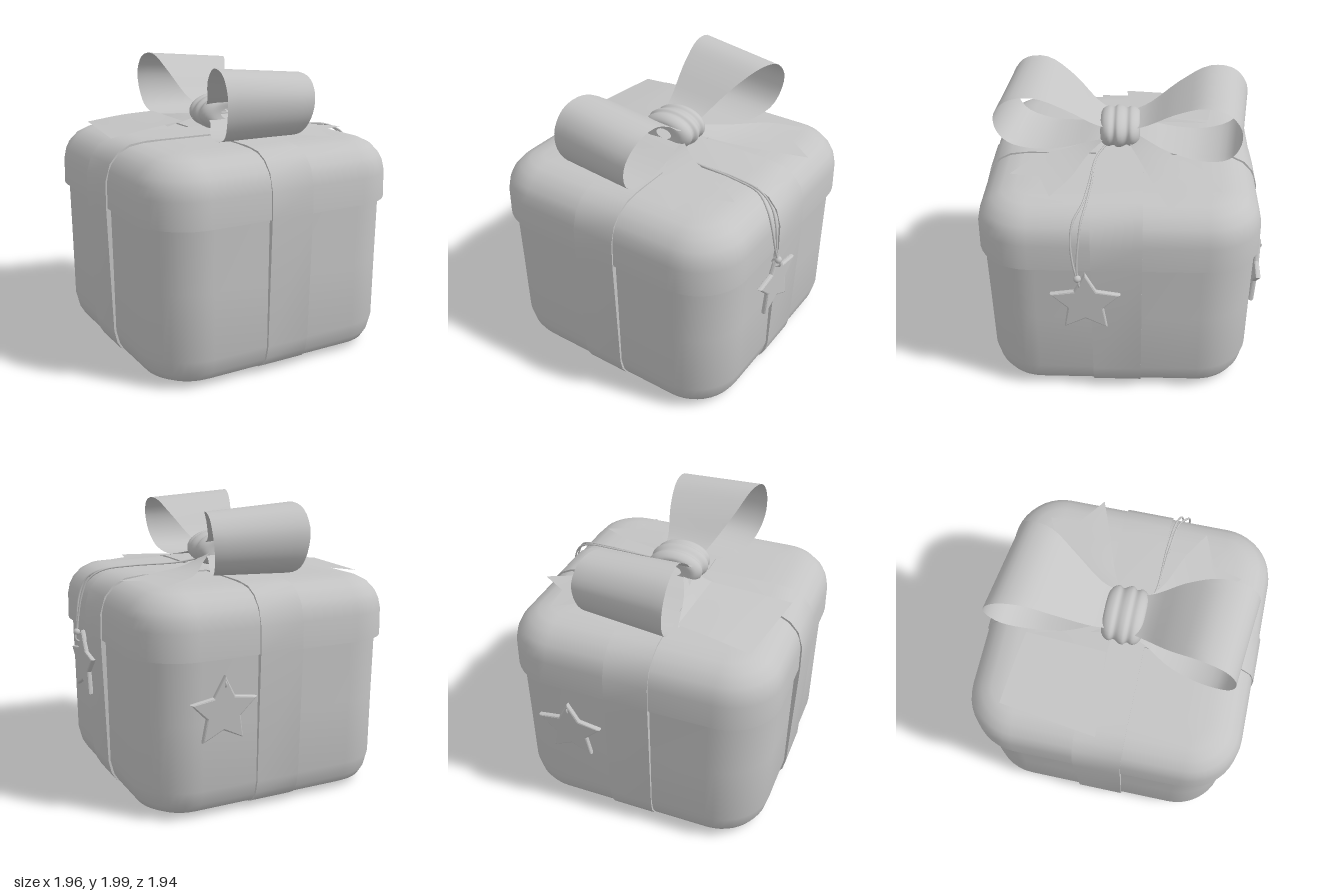
import * as THREE from 'three';
import { toCreasedNormals } from 'three/addons/utils/BufferGeometryUtils.js';

const CX = -0.04, CZ = 0.025; // centre of the box in plan
const V = (x, y, z) => new THREE.Vector3(x, y, z);

// Indexed surface from rows of points
function surface(rows, closed = false) {
  const n = rows[0].length, pos = [], idx = [];
  rows.forEach(r => r.forEach(p => pos.push(p.x, p.y, p.z)));
  for (let k = 0; k < rows.length - 1; k++) {
    for (let i = 0; i < (closed ? n : n - 1); i++) {
      const j = (i + 1) % n, a = k * n + i, b = k * n + j;
      idx.push(a, a + n, b, b, a + n, b + n);
    }
  }
  if (closed) { // flat end caps
    const last = (rows.length - 1) * n, c0 = pos.length / 3;
    pos.push(CX, rows[0][0].y, CZ, CX, rows[rows.length - 1][0].y, CZ);
    for (let i = 0; i < n; i++) {
      const j = (i + 1) % n;
      idx.push(c0, i, j, c0 + 1, last + j, last + i);
    }
  }
  const g = new THREE.BufferGeometry();
  g.setAttribute('position', new THREE.Float32BufferAttribute(pos, 3));
  g.setIndex(idx);
  return toCreasedNormals(g, 0.8);
}

// Rounded square outline at height y
function ring(half, y, radius) {
  const pts = [], c = half - radius;
  for (let q = 0; q < 4; q++) {
    const sx = q === 0 || q === 3 ? 1 : -1, sz = q < 2 ? 1 : -1;
    for (let i = 0; i <= 10; i++) {
      const a = (q + i / 10) * Math.PI / 2;
      pts.push(V(CX + sx * c + Math.cos(a) * radius, y, CZ + sz * c + Math.sin(a) * radius));
    }
  }
  return pts;
}
const roundedBlock = (half, levels) => surface(
  levels.map(([y, inset]) => ring(half - inset, y, Math.max(0.36 - inset, 0.06))), true);

// Cloth strip between two edge curves, with an optional swallowtail notch
function cloth(left, right, notch = 0) {
  const a = new THREE.CatmullRomCurve3(left), b = new THREE.CatmullRomCurve3(right);
  const rows = [];
  for (let i = 0; i <= 40; i++) {
    const row = [];
    for (let j = 0; j <= 8; j++) {
      const v = j / 8, u = i / 40 * (1 - notch * (1 - Math.abs(2 * v - 1)));
      row.push(a.getPoint(u).lerp(b.getPoint(u), v));
    }
    rows.push(row);
  }
  return surface(rows);
}

// Band wrapped around the box, profile in (u, y), extruded across its width
function band(width) {
  const half = [[0.725, 0], [0.8, 0.012], [0.865, 0.05], [0.9, 0.11], [0.92, 0.2], [0.948, 1.07],
    [0.946, 1.25], [0.912, 1.365], [0.85, 1.438], [0.765, 1.481], [0.64, 1.495]];
  const pts = half.map(([u, y]) => new THREE.Vector2(u, y));
  const all = [...pts, ...pts.slice().reverse().map(p => new THREE.Vector2(-p.x, p.y))];
  const g = new THREE.ExtrudeGeometry(new THREE.Shape(all), { depth: width, bevelEnabled: false });
  g.translate(0, 0, -width / 2);
  return toCreasedNormals(g, 0.8);
}

function starGeometry() {
  const shape = new THREE.Shape();
  for (let i = 0; i < 10; i++) {
    const r = i % 2 ? 0.112 : 0.225, a = Math.PI / 2 + i * Math.PI / 5;
    shape[i ? 'lineTo' : 'moveTo'](Math.cos(a) * r, Math.sin(a) * r);
  }
  shape.closePath();
  const g = new THREE.ExtrudeGeometry(shape,
    { depth: 0.012, bevelThickness: 0.012, bevelSize: 0.012, bevelSegments: 2 });
  g.translate(0, 0, -0.006);
  return g;
}

export function createModel() {
  const model = new THREE.Group();
  model.name = 'giftBox';
  const grey = new THREE.MeshStandardMaterial({ color: 0xc4c4c4, side: THREE.DoubleSide });
  grey.name = 'grey';
  const add = (name, geo, parent = model) => {
    const m = new THREE.Mesh(geo, grey);
    m.name = name;
    parent.add(m);
    return m;
  };

  // Box and lid
  add('boxBody', roundedBlock(0.905, [[0.003, 0.19], [0.014, 0.12], [0.05, 0.055], [0.1, 0.025],
    [0.2, 0], [0.65, -0.004], [1.1, -0.01]]));
  add('lid', roundedBlock(0.938, [[1.07, 0.04], [1.07, 0], [1.25, 0.003], [1.32, 0.018], [1.37, 0.043],
    [1.43, 0.1], [1.465, 0.17], [1.48, 0.26], [1.484, 0.4]]));

  // Two crossing bands
  const across = add('sideBand', band(0.33));
  across.position.set(CX, 0, 0.033);
  const along = add('frontBand', band(0.31));
  along.rotation.y = -Math.PI / 2;
  along.scale.y = 0.997;
  along.position.set(-0.037, 0.003, CZ);

  // Bow loops: z, y, left x, right x
  const bow = new THREE.Group();
  bow.name = 'bow';
  model.add(bow);
  const loops = {
    frontLoop: [[0.06, 1.66, -0.17, 0.09], [0.2, 1.72, -0.22, 0.11], [0.4, 1.88, -0.32, 0.17],
      [0.6, 1.985, -0.38, 0.2], [0.78, 1.96, -0.41, 0.2], [0.875, 1.84, -0.425, 0.18],
      [0.87, 1.69, -0.425, 0.16], [0.79, 1.57, -0.4, 0.14], [0.6, 1.515, -0.36, 0.13],
      [0.4, 1.53, -0.3, 0.12], [0.2, 1.58, -0.2, 0.1], [0.06, 1.6, -0.17, 0.09]],
    backLoop: [[0, 1.66, -0.17, 0.1], [-0.16, 1.72, -0.2, 0.12], [-0.38, 1.88, -0.24, 0.22],
      [-0.58, 1.985, -0.26, 0.32], [-0.75, 1.96, -0.27, 0.36], [-0.845, 1.84, -0.27, 0.375],
      [-0.84, 1.69, -0.26, 0.36], [-0.76, 1.57, -0.25, 0.33], [-0.58, 1.515, -0.23, 0.27],
      [-0.38, 1.53, -0.21, 0.2], [-0.16, 1.58, -0.19, 0.12], [0, 1.6, -0.17, 0.1]],
  };
  for (const [name, rows] of Object.entries(loops)) {
    const front = name === 'frontLoop';
    add(name, cloth(
      rows.map(([z, y, l]) => V(l, y, z * (front ? 0.93 : 1))),
      rows.map(([z, y, , r]) => V(r, 1.6 + (y - 1.6) * 0.88, z * (front ? 1 : 0.9)))), bow);
  }

  // Knot: folded roll about the z axis
  const roll = [[0.06, -0.13], [0.14, -0.135], [0.18, -0.11], [0.195, -0.075], [0.18, -0.045],
    [0.2, -0.01], [0.205, 0.02], [0.185, 0.045], [0.195, 0.08], [0.175, 0.115], [0.13, 0.135], [0.06, 0.13]];
  const curve = new THREE.SplineCurve(roll.map(([r, h]) => new THREE.Vector2(r, h)));
  const knot = new THREE.LatheGeometry(curve.getPoints(40), 32);
  knot.rotateX(Math.PI / 2);
  knot.scale(1, 0.62, 1);
  add('knot', knot, bow).position.set(CX, 1.622, 0.035);

  // Ribbon tails
  add('rightBackTail', cloth(
    [V(0.05, 1.62, -0.06), V(0.22, 1.57, -0.28), V(0.4, 1.53, -0.52), V(0.62, 1.505, -0.64)],
    [V(0.08, 1.58, -0.01), V(0.3, 1.53, -0.11), V(0.56, 1.51, -0.2), V(0.83, 1.495, -0.3)], 0.12), bow);
  add('rightFrontTail', cloth(
    [V(0.06, 1.61, 0.1), V(0.25, 1.56, 0.24), V(0.5, 1.53, 0.34), V(0.71, 1.51, 0.46)],
    [V(0.03, 1.58, 0.14), V(0.13, 1.54, 0.38), V(0.22, 1.52, 0.59), V(0.43, 1.505, 0.75)], 0.14), bow);
  add('leftTail', cloth(
    [V(-0.27, 1.555, -0.59), V(-0.5, 1.54, -0.62), V(-0.77, 1.505, -0.65)],
    [V(-0.3, 1.56, -0.04), V(-0.58, 1.53, -0.015), V(-0.86, 1.495, 0.01)]), bow);
  add('leftTailFold', cloth(
    [V(-0.1, 1.6, -0.05), V(-0.2, 1.57, -0.3), V(-0.27, 1.53, -0.59)],
    [V(-0.15, 1.6, 0.0), V(-0.25, 1.57, -0.03), V(-0.42, 1.53, -0.03)]), bow);

  // Hanging cord, two strands
  for (const s of [-1, 1]) {
    const path = new THREE.CatmullRomCurve3([V(0.05, 1.54, 0.12), V(0.2, 1.508, 0.19),
      V(0.55, 1.505, 0.215 + s * 0.008), V(0.76, 1.485, 0.24 + s * 0.012), V(0.86, 1.42, 0.28 + s * 0.025),
      V(0.91, 1.3, 0.295 + s * 0.025), V(0.935, 1.15, 0.295 + s * 0.012), V(0.95, 1.03, 0.28)]);
    add('cord', new THREE.TubeGeometry(path, 40, 0.007, 6));
  }
  const bead = add('cordKnot', new THREE.SphereGeometry(0.025, 12, 8));
  bead.position.set(0.95, 1.045, 0.28);
  const eye = add('cordRing', new THREE.TorusGeometry(0.03, 0.007, 6, 16));
  eye.position.set(0.935, 1.01, 0.27);

  // Star ornaments
  const star = starGeometry();
  const sideStar = add('sideStar', star);
  sideStar.rotation.set(0, Math.PI / 2, 0);
  sideStar.position.set(0.918, 0.825, 0.235);
  const backStar = add('backStar', star);
  backStar.rotation.set(-0.08, Math.PI, 0, 'YXZ');
  backStar.rotation.x = 0.08;
  backStar.position.set(0.38, 0.735, -0.918);
  const backEye = add('backStarRing', new THREE.TorusGeometry(0.02, 0.006, 6, 16));
  backEye.rotation.y = Math.PI / 2;
  backEye.position.set(0.38, 0.92, -0.937);
  return model;
}
